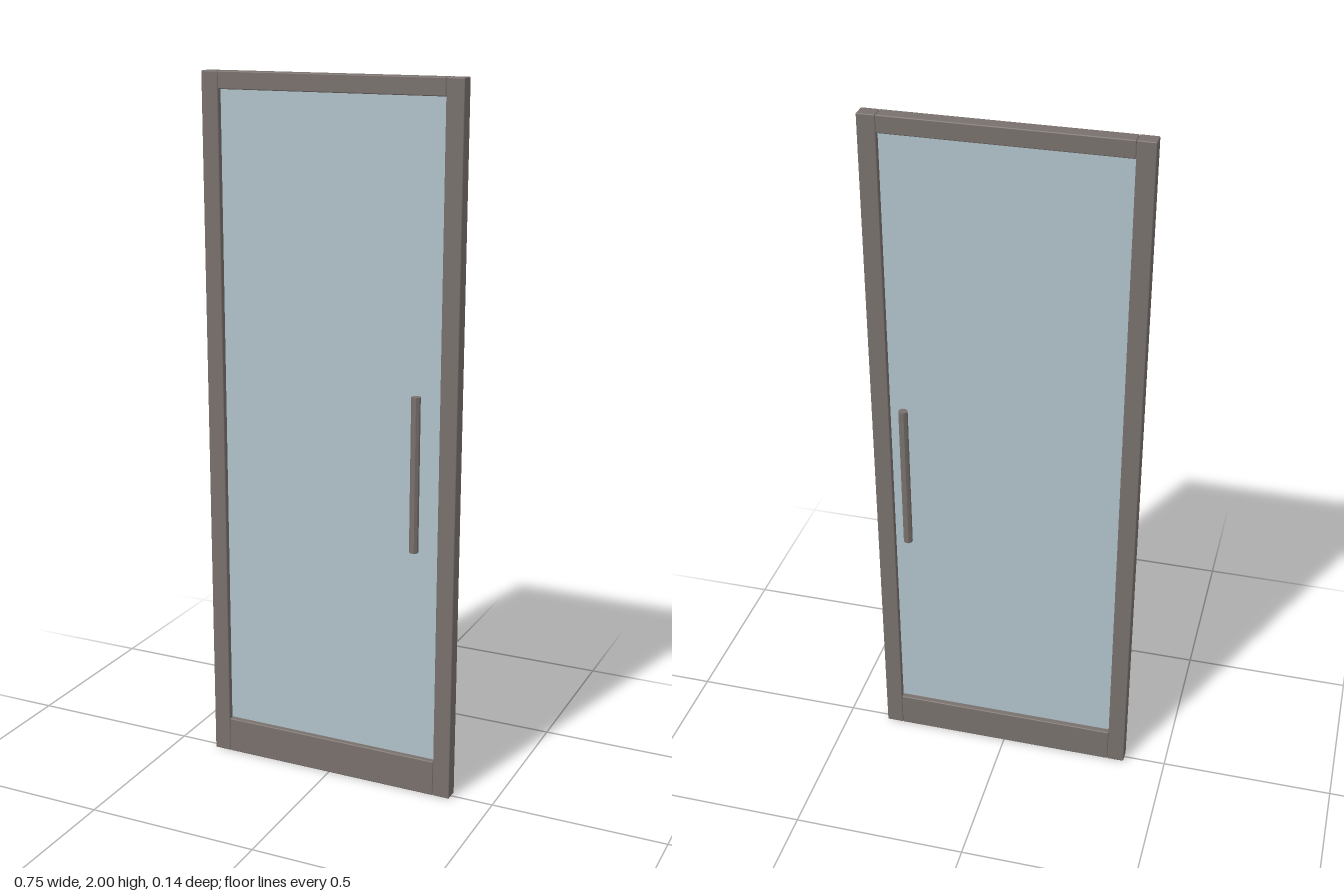
import * as THREE from 'three';
import { RoundedBoxGeometry } from 'three/addons/geometries/RoundedBoxGeometry.js';

const HALF_WIDTH = 0.377, STILE = 0.05, DEPTH = 0.042, HEIGHT = 2;
const TOP_RAIL = 0.048, BOTTOM_RAIL = 0.105, BEVEL = 0.003;

export function createModel() {
  const door = new THREE.Group();
  door.name = 'glassDoor';

  const bronze = new THREE.MeshStandardMaterial({ color: 0x78706c });
  bronze.name = 'bronze metal';
  const glass = new THREE.MeshStandardMaterial({ color: 0xb0c2c9 });
  glass.name = 'pale blue glass';

  const add = (name, geometry, material, x, y, z = 0) => {
    const mesh = new THREE.Mesh(geometry, material);
    mesh.name = name;
    mesh.position.set(x, y, z);
    door.add(mesh);
    return mesh;
  };
  const bar = (w, h) => new RoundedBoxGeometry(w, h, DEPTH, 2, BEVEL);

  // Upright stiles
  for (const [side, name] of [[1, 'leftStile'], [-1, 'rightStile']]) {
    add(name, bar(STILE, HEIGHT), bronze, side * (HALF_WIDTH - STILE / 2), HEIGHT / 2);
  }

  // Rails between the stiles
  const innerWidth = 2 * (HALF_WIDTH - STILE);
  add('topRail', bar(innerWidth, TOP_RAIL), bronze, 0, HEIGHT - TOP_RAIL / 2);
  add('bottomRail', bar(innerWidth, BOTTOM_RAIL), bronze, 0, BOTTOM_RAIL / 2);

  // Glass pane, tucked slightly into the frame
  const paneHeight = HEIGHT - TOP_RAIL - BOTTOM_RAIL;
  add('glassPane', new THREE.BoxGeometry(innerWidth + 0.01, paneHeight + 0.01, 0.01),
    glass, 0, BOTTOM_RAIL + paneHeight / 2);

  // Octagonal pull bars on both faces
  const handle = new THREE.CylinderGeometry(0.0128, 0.0128, 0.436, 8).rotateY(Math.PI / 8).toNonIndexed();
  handle.computeVertexNormals();
  for (const [side, name] of [[1, 'frontHandle'], [-1, 'backHandle']]) {
    add(name, handle, bronze, 0.273, 0.958, side * 0.057);
  }

  return door;
}
